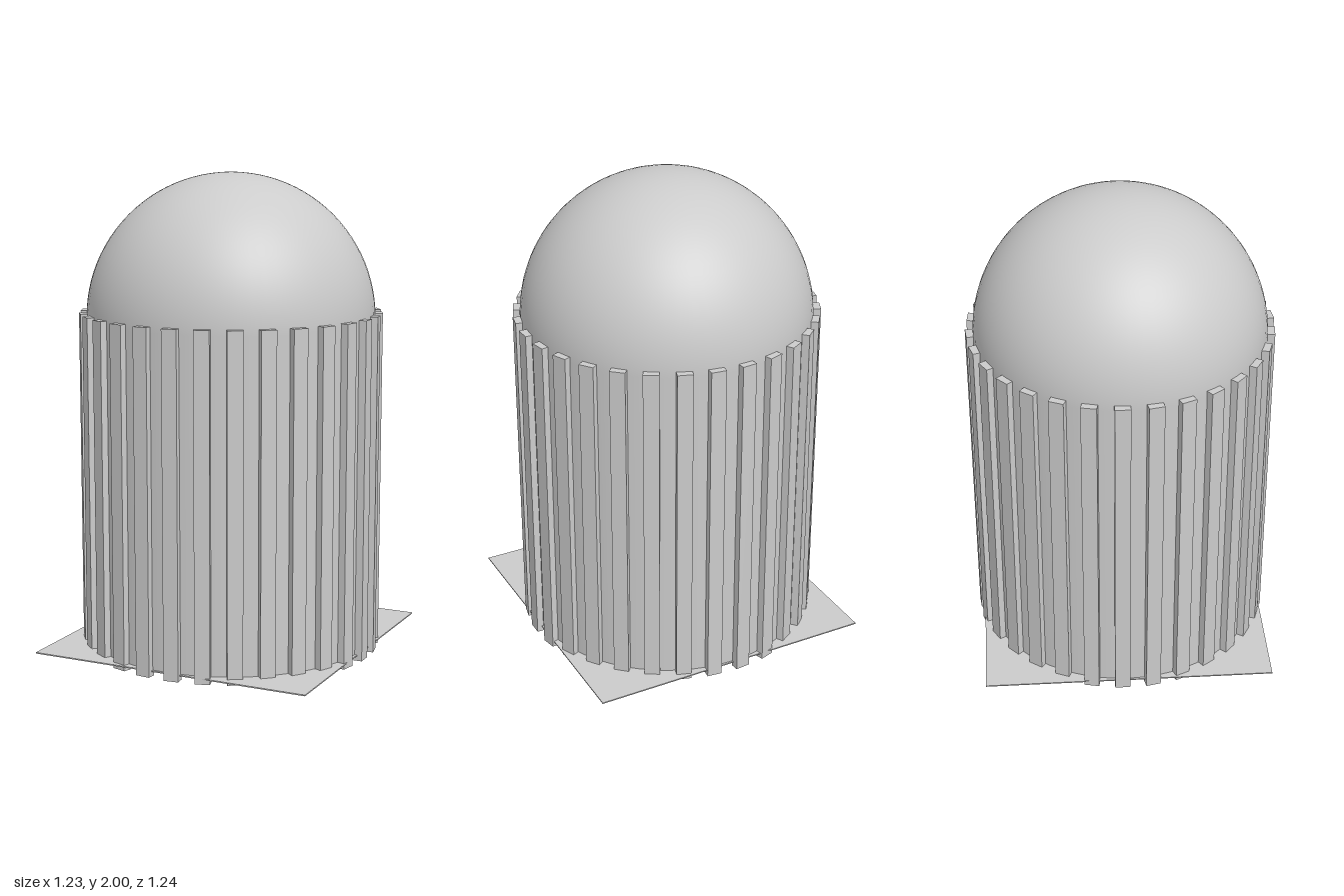
import * as THREE from 'three';

const material = new THREE.MeshStandardMaterial({ color: 0xcccccc });

function addPart(parent, name, geometry, x = 0, y = 0, z = 0) {
  const mesh = new THREE.Mesh(geometry, material);
  mesh.name = name;
  mesh.position.set(x, y, z);
  parent.add(mesh);
  return mesh;
}

export function createModel() {
  const model = new THREE.Group();
  model.name = 'domedTower';

  const radius = 0.59;
  const plateY = 0.067;
  const domeY = 2 - radius;

  // Round wall and hemispherical roof
  const wallHeight = domeY - plateY;
  addPart(model, 'wall', new THREE.CylinderGeometry(radius, radius, wallHeight, 64, 1, true),
    0, plateY + wallHeight / 2, 0);
  addPart(model, 'dome', new THREE.SphereGeometry(radius, 64, 24, 0, Math.PI * 2, 0, Math.PI / 2), 0, domeY, 0);

  // Thirty vertical ribs, each set to one side of its radius line
  const ribs = new THREE.Group();
  ribs.name = 'ribs';
  const ribBottom = 0.045, ribTop = 1.435, ribDepth = 0.035, ribWidth = 0.062;
  const ribGeometry = new THREE.BoxGeometry(ribDepth, ribTop - ribBottom, ribWidth);
  ribGeometry.translate(0.617 - ribDepth / 2, (ribTop + ribBottom) / 2, ribWidth / 2);
  const ribCount = 30;
  for (let i = 0; i < ribCount; i++) {
    addPart(ribs, 'rib', ribGeometry).rotation.y = (-i / ribCount) * Math.PI * 2;
  }
  model.add(ribs);

  // Thin square floor plate
  addPart(model, 'floorPlate', new THREE.BoxGeometry(1.193, 0.005, 1.193), 0, plateY, 0);

  // Stepped square foot, narrowing downwards
  const foot = new THREE.Group();
  foot.name = 'steppedFoot';
  const steps = 5, stepHeight = plateY / steps;
  for (let i = 0; i < steps; i++) {
    const width = 0.106 + i * 0.038;
    addPart(foot, 'footStep', new THREE.BoxGeometry(width, stepHeight, width), 0, (i + 0.5) * stepHeight, 0);
  }
  model.add(foot);

  return model;
}
